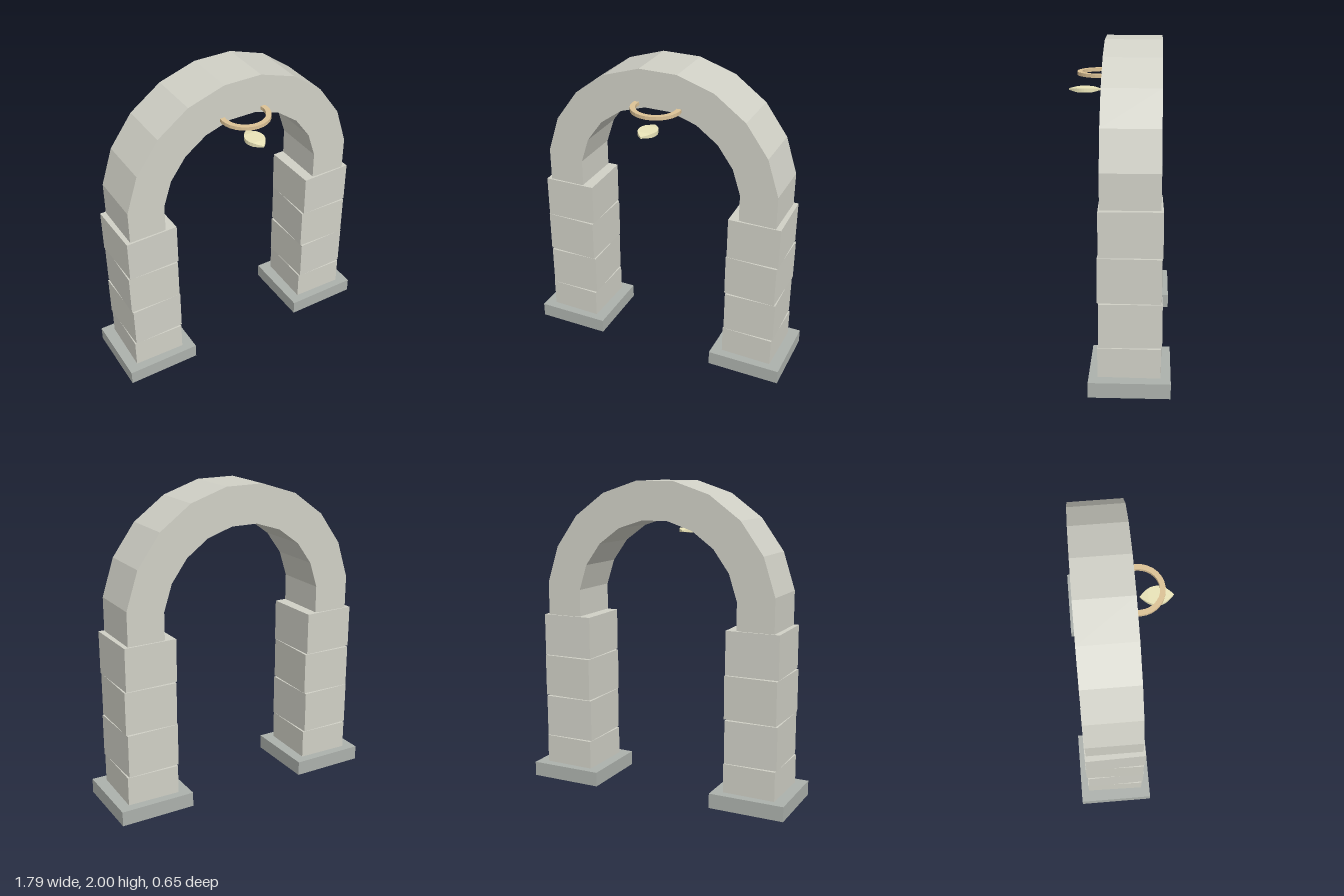
import * as THREE from 'three';

const Z = -0.082; // shared centre plane of the masonry
const mat = (color) => new THREE.MeshStandardMaterial({ color, flatShading: true });

function add(parent, name, geometry, material, x, y, z) {
  const mesh = new THREE.Mesh(geometry, material);
  mesh.name = name;
  mesh.position.set(x, y, z);
  parent.add(mesh);
  return mesh;
}

// Arch outline: facets of 18 degrees, flat at the crown, feet sunk into the pillars
function archShape(outer, inner, centreY) {
  const pts = [];
  const arc = (r, from, step) => {
    for (let i = 0; i <= 11; i++) {
      const t = THREE.MathUtils.degToRad(from + i * step);
      pts.push(new THREE.Vector2(r * Math.sin(t), centreY + r * Math.cos(t)));
    }
  };
  arc(outer, 99, -18);
  arc(inner, -99, 18);
  return new THREE.Shape(pts);
}

// Flat band with square edges, lying level
function bandGeometry(outer, inner, height) {
  const shape = new THREE.Shape().absarc(0, 0, outer, 0, Math.PI * 2, false);
  shape.holes.push(new THREE.Path().absarc(0, 0, inner, 0, Math.PI * 2, true));
  return new THREE.ExtrudeGeometry(shape, { depth: height, bevelEnabled: false, curveSegments: 14 })
    .translate(0, 0, -height / 2).rotateX(Math.PI / 2);
}

// Pointed slab: sides curve in to a point at each end, thinning near the tips
function leafGeometry(width, height, length) {
  const geo = new THREE.BoxGeometry(width, height, length, 2, 1, 12);
  const p = geo.attributes.position;
  for (let i = 0; i < p.count; i++) {
    const t = Math.abs(p.getZ(i)) / (length / 2);
    p.setX(i, p.getX(i) * (1 - t * t));
    p.setY(i, p.getY(i) * (1 - 0.6 * Math.max(0, (t - 0.5) / 0.5)));
  }
  geo.computeVertexNormals();
  return geo;
}

export function createModel() {
  const model = new THREE.Group();
  model.name = 'stoneArch';
  const stone = mat(0xd0d0c6);
  const footing = mat(0xacb1ac);
  const gold = mat(0xdcc296);
  const leafMat = mat(0xeae4b8);

  // Pillars: a footing and four blocks, each twisted a little the other way
  for (const side of [-1, 1]) {
    const pillar = new THREE.Group();
    pillar.name = side > 0 ? 'leftPillar' : 'rightPillar';
    pillar.position.set(side * 0.65, 0, Z);
    add(pillar, 'footing', new THREE.BoxGeometry(0.486, 0.095, 0.486), footing, 0, 0.0475, 0);
    for (let i = 0; i < 4; i++) {
      const block = add(pillar, 'block', new THREE.BoxGeometry(0.34, 0.274, 0.374), stone, 0, 0.144 + i * 0.28, 0);
      block.rotation.y = i % 2 ? 0.02 : -0.02;
    }
    model.add(pillar);
  }

  // Arch
  const archGeo = new THREE.ExtrudeGeometry(archShape(0.798, 0.555, 1.211), { depth: 0.352, bevelEnabled: false });
  add(model, 'arch', archGeo, stone, 0, 0, Z - 0.176);

  // Level ring, its back half set in the crown of the arch
  add(model, 'ring', bandGeometry(0.158, 0.126, 0.022), gold, 0, 1.778, 0.117);

  // Leaf below the ring
  add(model, 'leaf', leafGeometry(0.117, 0.025, 0.2), leafMat, 0, 1.672, 0.229);

  return model;
}
